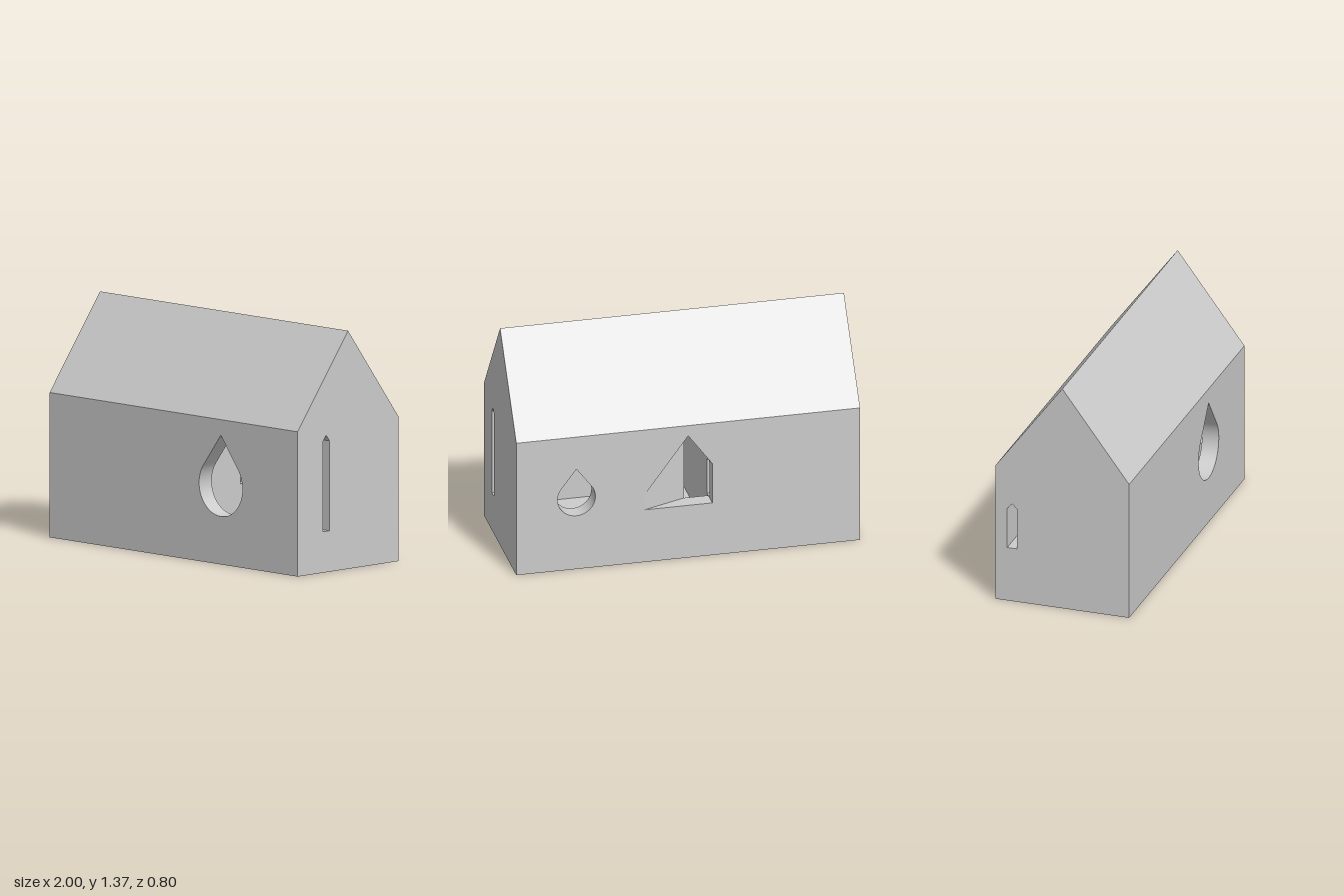
import * as THREE from 'three';
import { toCreasedNormals } from 'three/addons/utils/BufferGeometryUtils.js';

// Main dimensions
const EAVE = 0.83, RIDGE = 1.365, D = 0.4;          // outer house
const C = { x0: -0.14, x1: 0.9, y0: 0.1, eave: 0.796, ridge: 1.198, d: 0.3 }; // chamber
const W = { x0: -0.14, x1: 0.255, lip: 0, y0: 0.328, low: 0.42, high: 0.575, top: 0.765 }; // window

const V = (a) => new THREE.Vector3(...a);

// Teardrop outline: a circle closed by two tangent lines
function drop(cx, cy, r) {
  const pts = [[cx, cy + r * 1.66]], a = Math.asin(1 / 1.66);
  const start = Math.PI - a, sweep = Math.PI + 2 * a;
  for (let i = 0; i <= 40; i++) {
    const t = start + (sweep * i) / 40;
    pts.push([cx + r * Math.cos(t), cy + r * Math.sin(t)]);
  }
  return pts;
}

// Outline with vertical sides and a pointed top
const gable = (u0, u1, v0, eave, top) =>
  [[u0, v0], [u1, v0], [u1, eave], [(u0 + u1) / 2, top], [u0, eave]];
const rect = (u0, u1, v0, v1) => [[u0, v0], [u1, v0], [u1, v1], [u0, v1]];

// Placement of a 2D outline on a plane of constant x, y or z
const atX = (x) => (z, y) => [x, y, z];
const atY = (y) => (x, z) => [x, y, z];
const atZ = (z) => (x, y) => [x, y, z];

export function createModel() {
  const group = new THREE.Group();
  const grey = new THREE.MeshStandardMaterial({ color: 0xcccccc, side: THREE.DoubleSide });
  grey.name = 'plain grey';

  function add(name, geometry) {
    const mesh = new THREE.Mesh(geometry, grey);
    mesh.name = name;
    group.add(mesh);
  }

  // Flat panel with optional holes, turned to face the given direction
  function panel(name, outline, place, facing, holes = []) {
    const toV2 = (pts) => pts.map((p) => new THREE.Vector2(...p));
    const shape = new THREE.Shape(toV2(outline));
    for (const h of holes) shape.holes.push(new THREE.Path(toV2(h)));
    const g = new THREE.ShapeGeometry(shape);
    const p = g.attributes.position;
    for (let i = 0; i < p.count; i++) p.setXYZ(i, ...place(p.getX(i), p.getY(i)));
    g.computeVertexNormals();
    if (V(g.attributes.normal.array.slice(0, 3)).dot(V(facing)) < 0) {
      g.index.array.reverse();
      g.computeVertexNormals();
    }
    add(name, g);
  }

  // Flat convex polygon from 3D corners
  function facet(name, corners, facing) {
    const v = corners.map(V);
    const n = v[1].clone().sub(v[0]).cross(v[2].clone().sub(v[0]));
    if (n.dot(V(facing)) < 0) v.reverse();
    const pts = [];
    for (let i = 1; i < v.length - 1; i++) pts.push(v[0], v[i], v[i + 1]);
    const g = new THREE.BufferGeometry().setFromPoints(pts);
    g.computeVertexNormals();
    add(name, g);
  }

  // Inside walls of a hole running between two outlines
  function tunnel(name, outA, placeA, outB, placeB) {
    const a = outA.map((p) => V(placeA(...p))), b = outB.map((p) => V(placeB(...p)));
    const centre = a.reduce((s, p) => s.add(p), new THREE.Vector3()).divideScalar(a.length);
    const n = b[0].clone().sub(a[0]).cross(a[1].clone().sub(a[0]));
    const flip = n.dot(centre.sub(a[0])) < 0;
    const pts = [];
    for (let i = 0; i < a.length; i++) {
      const j = (i + 1) % a.length;
      const t = [a[i], b[i], a[j], a[j], b[i], b[j]];
      pts.push(...(flip ? t.reverse() : t));
    }
    const g = new THREE.BufferGeometry().setFromPoints(pts);
    add(name, toCreasedNormals(g, 0.4));
  }

  // Openings
  const frontHole = drop(0.38, 0.45, 0.175);
  const backHole = drop(0.65, 0.445, 0.11);
  const endSlot = gable(0.147, 0.2, 0.235, 0.75, 0.785);
  const mouthOuter = gable(-0.33, -0.27, 0.329, 0.573, 0.605);
  const mouthInner = gable(-0.33, -0.27, 0.329, 0.54, 0.573);
  const windowOutline = [[W.x0, W.y0], [W.x1, W.y0], [W.x1, W.low], [W.lip, W.top], [W.x0, W.high]];

  // Outer walls, base and roof
  const wall = rect(-1, 1, 0, EAVE);
  const end = gable(-D, D, 0, EAVE, RIDGE);
  panel('frontWall', wall, atZ(D), [0, 0, 1], [frontHole]);
  panel('backWall', wall, atZ(-D), [0, 0, -1], [backHole, windowOutline]);
  panel('leftEnd', end, atX(1), [1, 0, 0], [endSlot]);
  panel('rightEnd', end, atX(-1), [-1, 0, 0], [mouthOuter]);
  panel('base', rect(-1, 1, -D, D), atY(0), [0, -1, 0]);
  for (const s of [1, -1]) {
    facet(s > 0 ? 'frontRoof' : 'backRoof',
      [[-1, EAVE, s * D], [1, EAVE, s * D], [1, RIDGE, 0], [-1, RIDGE, 0]], [0, 1, s]);
    facet(s > 0 ? 'frontCeiling' : 'backCeiling',
      [[C.x0, C.eave, s * C.d], [C.x1, C.eave, s * C.d], [C.x1, C.ridge, 0], [C.x0, C.ridge, 0]], [0, -1, -s]);
  }

  // Chamber inside
  panel('chamberFloor', rect(C.x0, C.x1, -C.d, C.d), atY(C.y0), [0, 1, 0]);
  panel('chamberFront', rect(C.x0, C.x1, C.y0, C.eave), atZ(C.d), [0, 0, -1], [frontHole]);
  panel('chamberBack', [[C.x0, C.y0], [C.x1, C.y0], [C.x1, C.eave], [C.x0, C.eave],
    [W.x0, W.high], [W.lip, W.top], [W.lip, W.y0], [W.x0, W.y0]], atZ(-C.d), [0, 0, 1], [backHole]);
  panel('chamberLeftEnd', gable(-C.d, C.d, C.y0, C.eave, C.ridge), atX(C.x1), [-1, 0, 0], [endSlot]);
  panel('chamberRightEnd', [[-C.d, C.y0], [C.d, C.y0], [C.d, C.eave], [0, C.ridge], [-C.d, C.eave],
    [-C.d, W.high], [-D, W.high], [-D, W.y0], [-C.d, W.y0]], atX(C.x0), [1, 0, 0], [mouthInner]);

  // Holes through the walls
  tunnel('frontHoleRim', frontHole, atZ(D), frontHole, atZ(C.d));
  tunnel('backHoleRim', backHole, atZ(-D), backHole, atZ(-C.d));
  tunnel('endSlotSides', endSlot, atX(1), endSlot, atX(C.x1));
  tunnel('airChannel', mouthOuter, atX(-1), mouthInner, atX(C.x0));

  // Window in the back wall, with a ramp rising from the inner lip
  facet('windowSill', [[W.x0, W.y0, -D], [W.x1, W.y0, -D], [W.lip, W.y0, -C.d], [W.x0, W.y0, -C.d]], [0, 1, 0]);
  facet('windowRamp', [[W.x1, W.y0, -D], [W.x1, W.low, -D], [W.lip, W.top, -C.d], [W.lip, W.y0, -C.d]], [-1, 0, -1]);
  facet('windowLongSlope', [[W.x1, W.low, -D], [W.lip, W.top, -D], [W.lip, W.top, -C.d]], [-1, -1, 0]);
  facet('windowShortSlope', [[W.lip, W.top, -D], [W.x0, W.high, -D], [W.x0, W.high, -C.d], [W.lip, W.top, -C.d]], [1, -1, 0]);

  return group;
}
